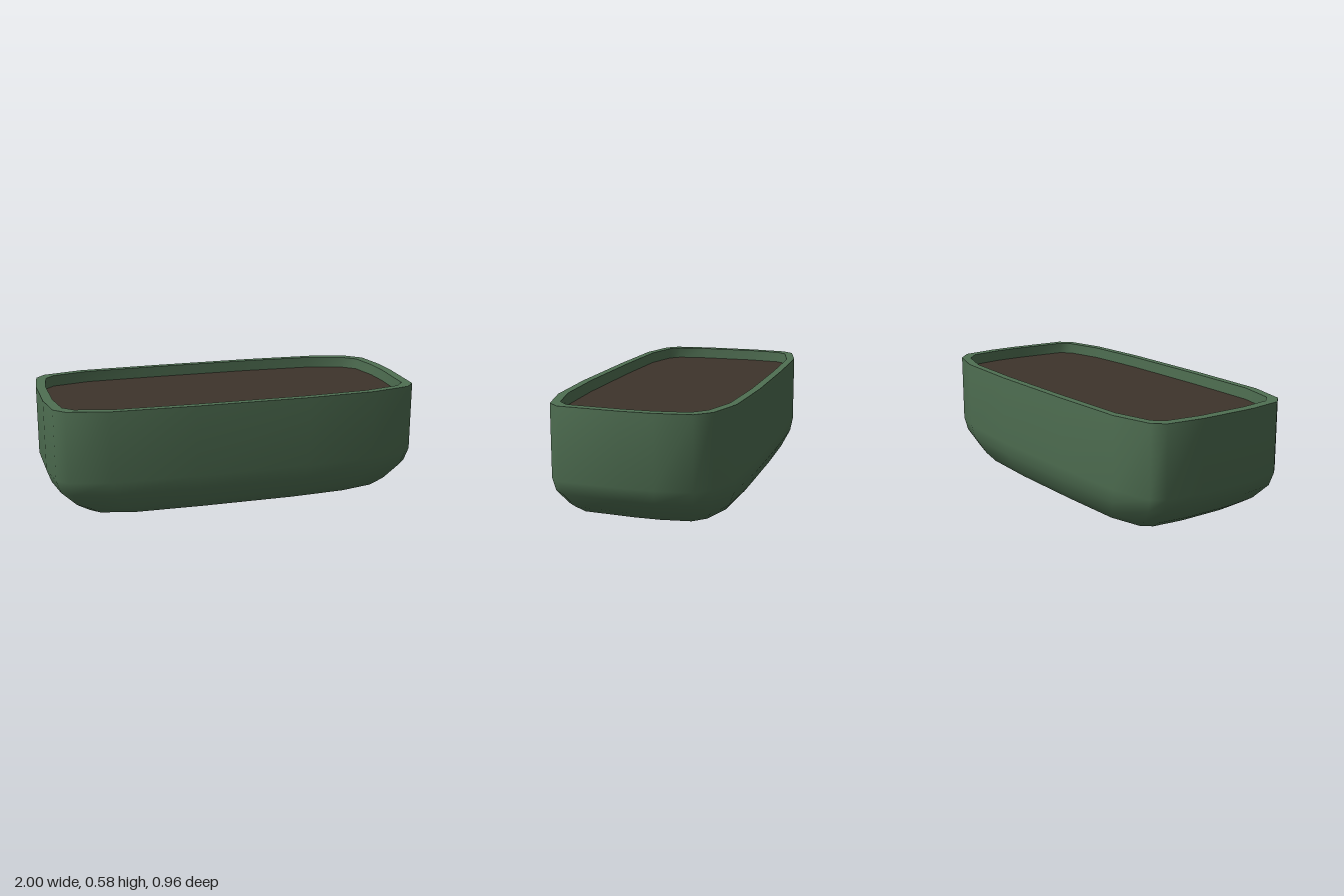
import * as THREE from 'three';
import { toCreasedNormals } from 'three/addons/utils/BufferGeometryUtils.js';

// Slightly hand-shaped rounded rectangle, counterclockwise from above: [x, -z]
const OUTLINE = [
  [1, 0.14], [0.975, 0.325], [0.9, 0.4], [0.7, 0.46], [0.29, 0.48],
  [-0.27, 0.48], [-0.71, 0.47], [-0.925, 0.415], [-0.975, 0.355], [-1, 0.155],
  [-1, -0.155], [-0.975, -0.345], [-0.92, -0.405], [-0.71, -0.46], [-0.27, -0.475],
  [0.33, -0.478], [0.7, -0.458], [0.92, -0.405], [0.975, -0.345], [1, -0.02],
];
const INNER_X = 0.95, INNER_Z = 0.915;
const HEIGHT = 0.58, SOIL = 0.52;

// Joins scaled copies of the outline; each ring is [scaleX, scaleZ, y]
function loft(rings) {
  const n = OUTLINE.length, positions = [], index = [];
  for (const [sx, sz, y] of rings)
    for (const [x, back] of OUTLINE) positions.push(x * sx, y, -back * sz);
  for (let j = 0; j < rings.length - 1; j++) {
    for (let i = 0; i < n; i++) {
      const a = j * n + i, b = j * n + (i + 1) % n;
      if (rings[j][0] > 0) index.push(a, b, b + n);
      index.push(a, b + n, a + n);
    }
  }
  const geometry = new THREE.BufferGeometry();
  geometry.setAttribute('position', new THREE.Float32BufferAttribute(positions, 3));
  geometry.setIndex(index);
  return toCreasedNormals(geometry, 0.9);
}

export function createModel() {
  const group = new THREE.Group();
  group.name = 'planter';

  // Pot: flat base, rounded lower edge, straight wall, flat rim, inner wall
  const pot = new THREE.Mesh(
    loft([
      [0, 0, 0], [0.75, 0.75, 0], [0.82, 0.82, 0.012], [0.89, 0.89, 0.055],
      [0.975, 0.975, 0.14], [1, 1, 0.21], [1, 1, HEIGHT],
      [INNER_X, INNER_Z, HEIGHT], [INNER_X, INNER_Z, SOIL - 0.02],
    ]),
    new THREE.MeshStandardMaterial({ color: 0x4f6f52 }),
  );
  pot.name = 'pot';
  group.add(pot);

  // Soil: flat fill just below the rim
  const shape = new THREE.Shape(OUTLINE.map(([x, y]) => new THREE.Vector2(x * INNER_X, y * INNER_Z)));
  const soil = new THREE.Mesh(
    new THREE.ShapeGeometry(shape).rotateX(-Math.PI / 2),
    new THREE.MeshStandardMaterial({ color: 0x3e342b }),
  );
  soil.name = 'soil';
  soil.position.y = SOIL;
  group.add(soil);

  return group;
}
